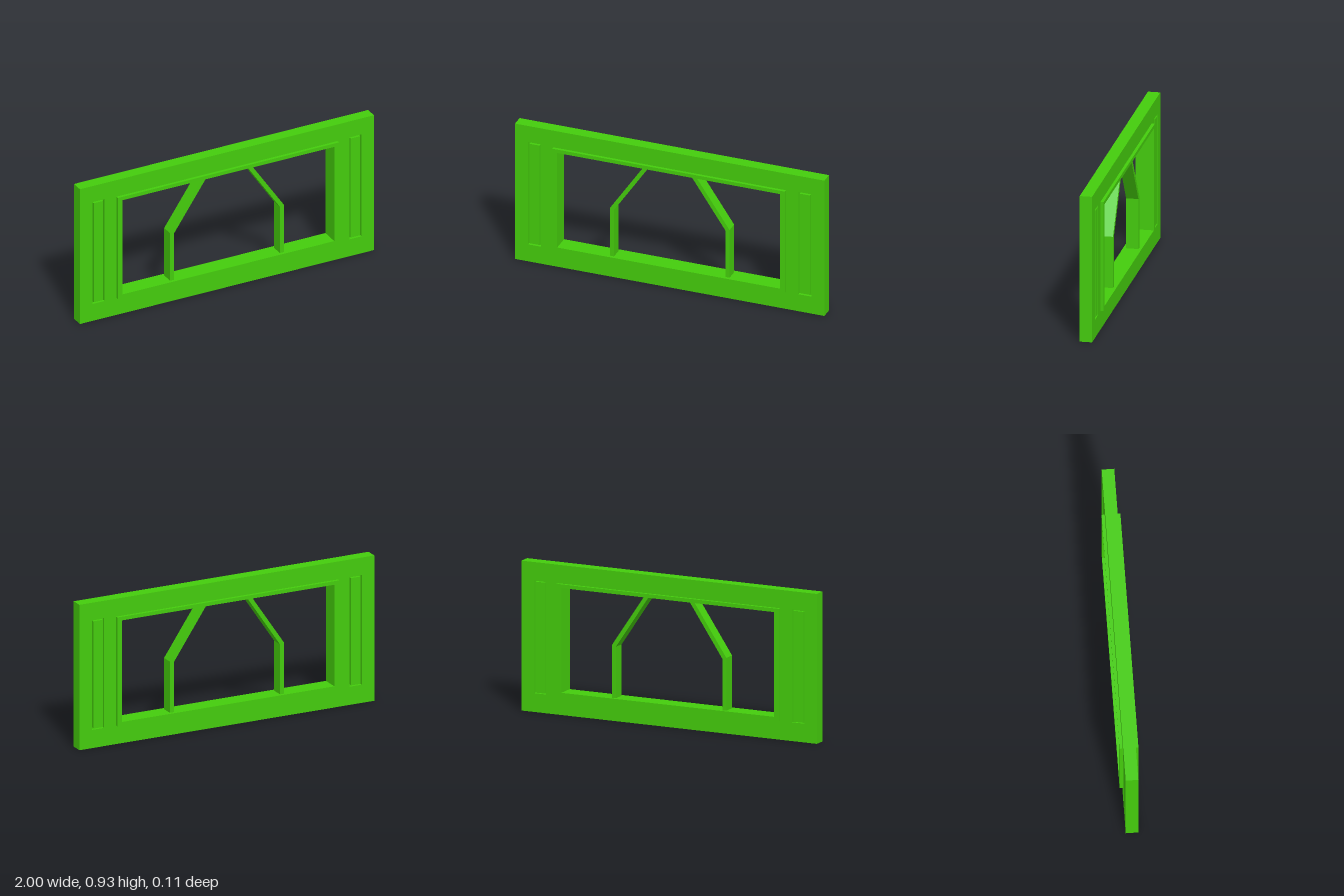
import * as THREE from 'three';

const material = new THREE.MeshStandardMaterial({ color: 0x44cc0c, flatShading: true });

// Rectangle outline from its edges
function rect(x0, x1, y0, y1) {
  return [[x0, y0], [x1, y0], [x1, y1], [x0, y1]].map(p => new THREE.Vector2(...p));
}

// Extruded plate between z0 and z1 with optional holes
function plate(name, outline, holes, z0, z1) {
  const shape = new THREE.Shape(outline);
  for (const hole of holes) shape.holes.push(new THREE.Path(hole));
  const geometry = new THREE.ExtrudeGeometry(shape, { depth: z1 - z0, bevelEnabled: false });
  geometry.translate(0, 0, z0);
  const mesh = new THREE.Mesh(geometry, material);
  mesh.name = name;
  return mesh;
}

export function createModel() {
  const model = new THREE.Group();
  model.name = 'windowFrame';

  const half = 0.038;       // half thickness of the wall panel
  const trimHalf = 0.057;   // half thickness of the window trim
  const core = 0.02;        // half thickness left behind the grooves
  const opening = rect(-0.72, 0.72, 0.142, 0.789);
  const wall = rect(-1, 1, 0, 0.926);
  const grooves = [rect(-0.915, -0.832, 0.116, 0.816), rect(0.832, 0.915, 0.116, 0.816)];

  // Wall panel: solid core with a grooved skin on each face
  model.add(plate('wallCore', wall, [opening], -core, core));
  model.add(plate('frontSkin', wall, [opening, ...grooves], core, half));
  model.add(plate('backSkin', wall, [opening, ...grooves], -half, -core));

  // Raised trim around the opening, proud on both faces
  const trim = rect(-0.752, 0.752, 0.118, 0.812);
  model.add(plate('windowTrim', trim, [opening], -trimHalf, trimHalf));

  for (const side of [-1, 1]) {
    // Flush inlays that leave a narrow groove around them
    const inlay = rect(side * 0.8735 - 0.032, side * 0.8735 + 0.032, 0.126, 0.806);
    model.add(plate(side > 0 ? 'leftInlay' : 'rightInlay', inlay, [], -half, half));

    // Bent mullion: upright below, leaning inwards above
    const points = [[0.36, 0.14], [0.387, 0.14], [0.387, 0.468], [0.168, 0.792], [0.136, 0.792], [0.36, 0.46]];
    const outline = points.map(([x, y]) => new THREE.Vector2(side * x, y));
    model.add(plate(side > 0 ? 'leftMullion' : 'rightMullion', outline, [], -half, half));
  }
  return model;
}
